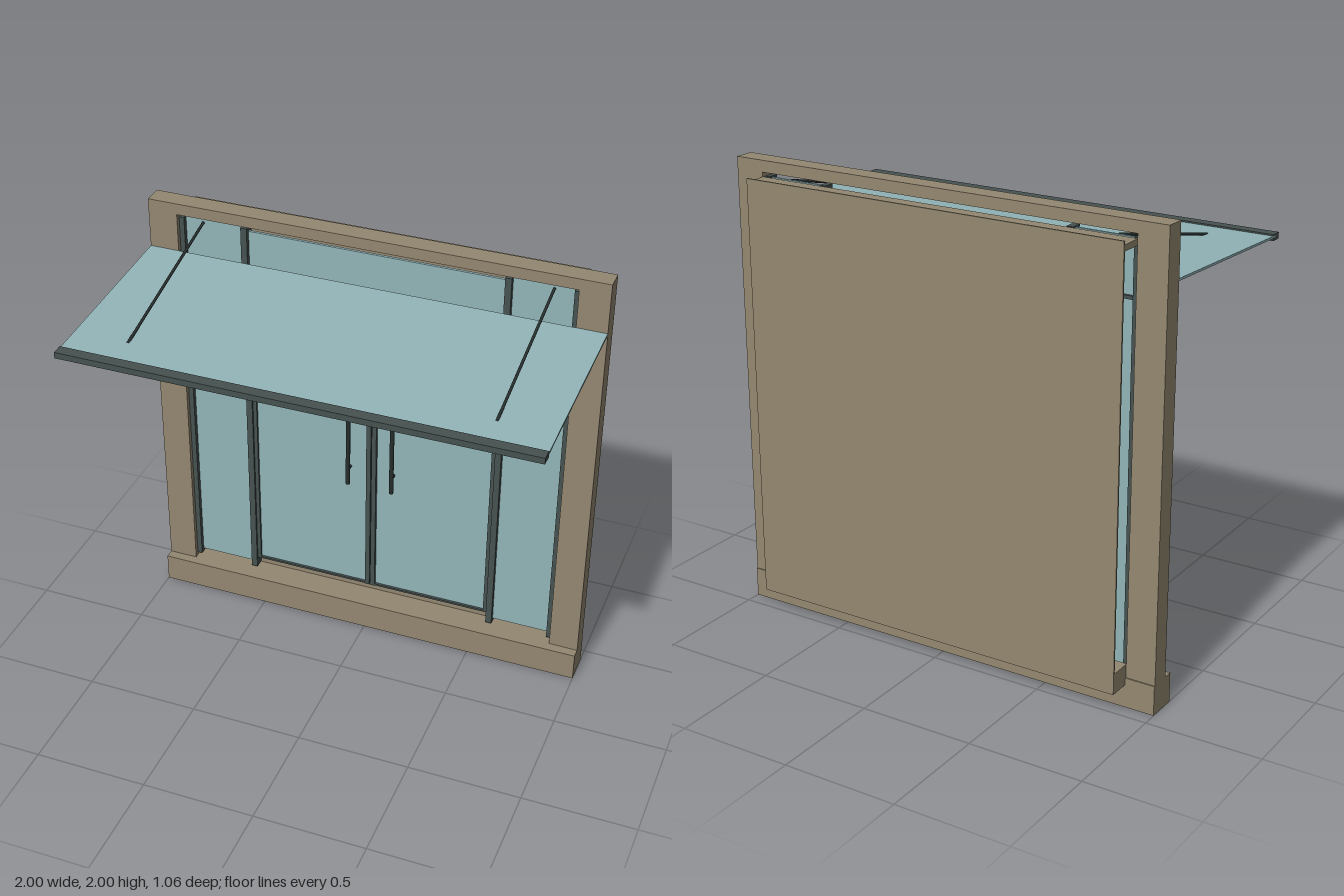
import * as THREE from 'three';

const mat = (name, color, side = THREE.FrontSide) => {
  const m = new THREE.MeshStandardMaterial({ color, side });
  m.name = name;
  return m;
};

export function createModel() {
  const stone = mat('stone', 0x948871);
  const glass = mat('glass', 0x92b4b8);
  const metal = mat('dark metal', 0x465250);
  const black = mat('black steel', 0x262e2d);

  const root = new THREE.Group();
  root.name = 'entrance';

  // Box given by its limits on each axis
  const box = (name, m, [x0, x1], [y0, y1], [z0, z1]) => {
    const mesh = new THREE.Mesh(new THREE.BoxGeometry(x1 - x0, y1 - y0, z1 - z0), m);
    mesh.position.set((x0 + x1) / 2, (y0 + y1) / 2, (z0 + z1) / 2);
    mesh.name = name;
    root.add(mesh);
    return mesh;
  };
  // Round bar between two points
  const bar = (name, m, a, b, r) => {
    const dir = b.clone().sub(a);
    const mesh = new THREE.Mesh(new THREE.CylinderGeometry(r, r, dir.length(), 12), m);
    mesh.position.copy(a).add(b).multiplyScalar(0.5);
    mesh.quaternion.setFromUnitVectors(new THREE.Vector3(0, 1, 0), dir.normalize());
    mesh.name = name;
    root.add(mesh);
  };

  // Stone surround: plinth, and an arch extruded as one piece
  box('plinth', stone, [-1, 1], [0, 0.13], [-0.435, -0.3]);
  const arch = new THREE.Shape([
    [-1, 0.13], [-0.87, 0.13], [-0.87, 1.95], [0.87, 1.95],
    [0.87, 0.13], [1, 0.13], [1, 2], [-1, 2],
  ].map(([x, y]) => new THREE.Vector2(x, y)));
  const surround = new THREE.Mesh(
    new THREE.ExtrudeGeometry(arch, { depth: 0.087, bevelEnabled: false }), stone);
  surround.position.z = -0.43;
  surround.name = 'surround';
  root.add(surround);

  // Shallow room behind: floor, ceiling and back wall, open at the sides
  box('floorSlab', stone, [-0.87, 0.87], [0.1, 0.19], [-0.526, -0.425]);
  box('ceilingSlab', stone, [-0.87, 0.87], [1.905, 1.93], [-0.526, -0.425]);
  box('backWall', stone, [-0.87, 0.87], [0.1, 1.945], [-0.532, -0.524]);

  // Glazing
  const paneZ = [-0.398, -0.386];
  for (const s of [-1, 1]) {
    const span = (a, b) => (s > 0 ? [a, b] : [-b, -a]);
    box('sidePane', glass, span(0.585, 0.85), [0.16, 1.925], paneZ);
    box('doorPane', glass, span(0.015, 0.555), [0.2, 1.69], paneZ);

    // Uprights
    box('outerUpright', metal, span(0.848, 0.87), [0.145, 1.93], [-0.415, -0.365]);
    box('innerUpright', metal, span(0.562, 0.59), [0.145, 1.93], [-0.415, -0.365]);
    box('hingeStile', metal, span(0.545, 0.562), [0.195, 1.7], [-0.41, -0.375]);
    box('meetingStile', metal, span(0.002, 0.023), [0.195, 1.7], [-0.41, -0.37]);

    // Pull handle with two stand-offs
    const hx = s * 0.102;
    bar('handle', black, new THREE.Vector3(hx, 0.755, -0.353), new THREE.Vector3(hx, 1.245, -0.353), 0.01);
    for (const y of [0.83, 1.17]) {
      bar('handleMount', black, new THREE.Vector3(hx, y, -0.39), new THREE.Vector3(hx, y, -0.353), 0.006);
    }

    // Canopy tie rod
    bar('tieRod', black, new THREE.Vector3(s * 0.763, 1.918, -0.375),
      new THREE.Vector3(s * 0.763, 1.746, 0.36), 0.006);
  }
  box('transomPane', glass, [-0.565, 0.565], [1.7, 1.91], paneZ);
  box('transomBar', metal, [-0.85, 0.85], [1.688, 1.702], [-0.41, -0.375]);
  box('doorBottomRail', metal, [-0.56, 0.56], [0.193, 0.202], [-0.41, -0.375]);

  // Sloping glass canopy with a dark front edge
  const back = new THREE.Vector2(-0.343, 1.774);
  const front = new THREE.Vector2(0.5, 1.738);
  const slope = front.clone().sub(back);
  const canopy = new THREE.Mesh(new THREE.BoxGeometry(2, 0.01, slope.length()), glass);
  canopy.position.set(0, (back.y + front.y) / 2, (back.x + front.x) / 2);
  canopy.rotation.x = Math.atan2(-slope.y, slope.x);
  canopy.name = 'canopyGlass';
  root.add(canopy);
  box('canopyEdge', metal, [-1, 1], [1.723, 1.75], [0.482, 0.532]);

  return root;
}
